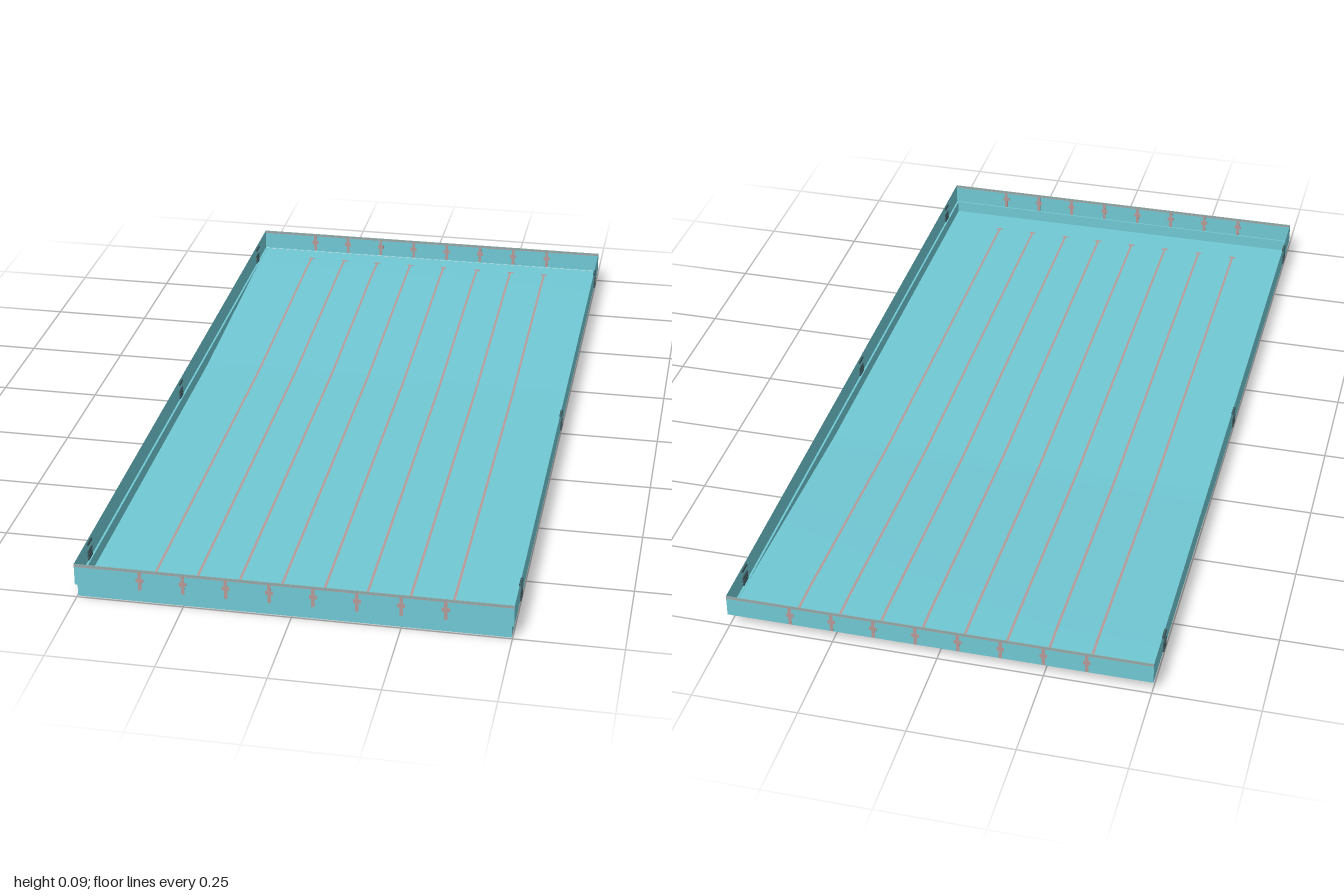
import * as THREE from 'three';

const mat = (name, color) => {
  const m = new THREE.MeshStandardMaterial({ color, side: THREE.DoubleSide });
  m.name = name;
  return m;
};

// Surface stretched between two matching rows of [x, y, z] points
function ribbon(a, b) {
  const index = [];
  for (let i = 0; i < a.length - 1; i++) {
    const j = 2 * i;
    index.push(j, j + 1, j + 2, j + 1, j + 3, j + 2);
  }
  const g = new THREE.BufferGeometry();
  g.setAttribute('position', new THREE.Float32BufferAttribute(a.flatMap((p, i) => [...p, ...b[i]]), 3));
  g.setIndex(index);
  g.computeVertexNormals();
  return g;
}

export function createModel() {
  const water = mat('aqua shell', 0x70c8d4);
  const lineMat = mat('lane line', 0xb79a98);
  const rimMat = mat('rim grey', 0x8fa9a8);
  const stepMat = mat('dark step', 0x3a5054);
  const root = new THREE.Group();
  const add = (name, geo, material, x = 0, y = 0, z = 0, parent = root) => {
    const m = new THREE.Mesh(geo, material);
    m.name = name;
    m.position.set(x, y, z);
    parent.add(m);
    return m;
  };

  const BAND = 0.031, TOP = 0.085, XI = 0.498, XO = 0.503, ZI = 0.996, ZO = 1;

  // Floor profile: deep end at +z, ramp, shallow shelf at -z
  const profile = [[ZI, 0], [-0.2, 0], [-0.26, 0.002], [-0.33, 0.005], [-0.86, 0.03], [-ZI, 0.03]];
  const row = (x, dy = 0) => profile.map(([z, y]) => [x, y + dy, z]);
  add('floor', ribbon(row(-XI), row(XI)), water);

  // Lower side walls, tapering away along the ramp
  for (const s of [-1, 1]) {
    add('lowerSideWall', ribbon(row(s * XI), profile.map(([z]) => [s * XI, BAND, z])), water);
  }
  add('lowerFrontWall', ribbon([[-XI, 0, ZI], [XI, 0, ZI]], [[-XI, BAND, ZI], [XI, BAND, ZI]]), water);

  // Upper band, one flat panel per side, plus the narrow ledge under it
  const rect = (x, z, y) => [[-x, y, z], [x, y, z], [x, y, -z], [-x, y, -z], [-x, y, z]];
  const low = rect(XO, ZO, BAND), high = rect(XO, ZO, TOP), inner = rect(XI, ZI, BAND);
  for (let i = 0; i < 4; i++) {
    add('upperWall', ribbon(low.slice(i, i + 2), high.slice(i, i + 2)), water);
    add('ledge', ribbon(inner.slice(i, i + 2), low.slice(i, i + 2)), water);
  }

  // Lane lines on the floor, ending in short bars
  const lanes = new THREE.Group();
  lanes.name = 'laneLines';
  root.add(lanes);
  const linePath = [[0.92, 0], ...profile.slice(1, 5), [-0.94, 0.03]];
  for (let i = 0; i < 8; i++) {
    const x = -0.35 + i * 0.1;
    for (const dy of [-0.0008, 0.0012]) {
      const edge = (dx) => linePath.map(([z, y]) => [x + dx, y + dy, z]);
      add('laneLine', ribbon(edge(-0.003), edge(0.003)), lineMat, 0, 0, 0, lanes);
    }
    add('laneEndBar', new THREE.BoxGeometry(0.018, 0.001, 0.006), lineMat, x, 0.001, 0.92, lanes);
    add('laneEndBar', new THREE.BoxGeometry(0.018, 0.001, 0.006), lineMat, x, 0.031, -0.94, lanes);

    // Cross targets on both end walls
    for (const s of [-1, 1]) {
      add('targetStem', new THREE.BoxGeometry(0.008, 0.048, 0.002), lineMat, x, 0.056, s * (ZO - 0.0005), lanes);
      add('targetArm', new THREE.BoxGeometry(0.018, 0.01, 0.002), lineMat, x, 0.058, s * (ZO - 0.0005), lanes);
    }
  }

  // Rim strip along the two ends
  for (const s of [-1, 1]) {
    add('endRim', new THREE.BoxGeometry(2 * XO, 0.005, 0.002), rimMat, 0, TOP - 0.0025, s * (ZO - 0.0005));
    add('endRimLine', new THREE.BoxGeometry(2 * XO, 0.0015, 0.002), lineMat, 0, TOP - 0.006, s * (ZO - 0.0005));
  }

  // Ladder rungs through the side walls
  for (const s of [-1, 1]) {
    for (const z of [0.88, 0.035, -0.88]) {
      const ladder = new THREE.Group();
      ladder.name = 'ladder';
      ladder.position.set(s * XO, 0, z);
      root.add(ladder);
      for (const y of [0.036, 0.045, 0.054, 0.075]) {
        add('rung', new THREE.BoxGeometry(0.006, 0.005, 0.03), stepMat, 0, y, 0, ladder);
      }
    }
  }
  return root;
}
